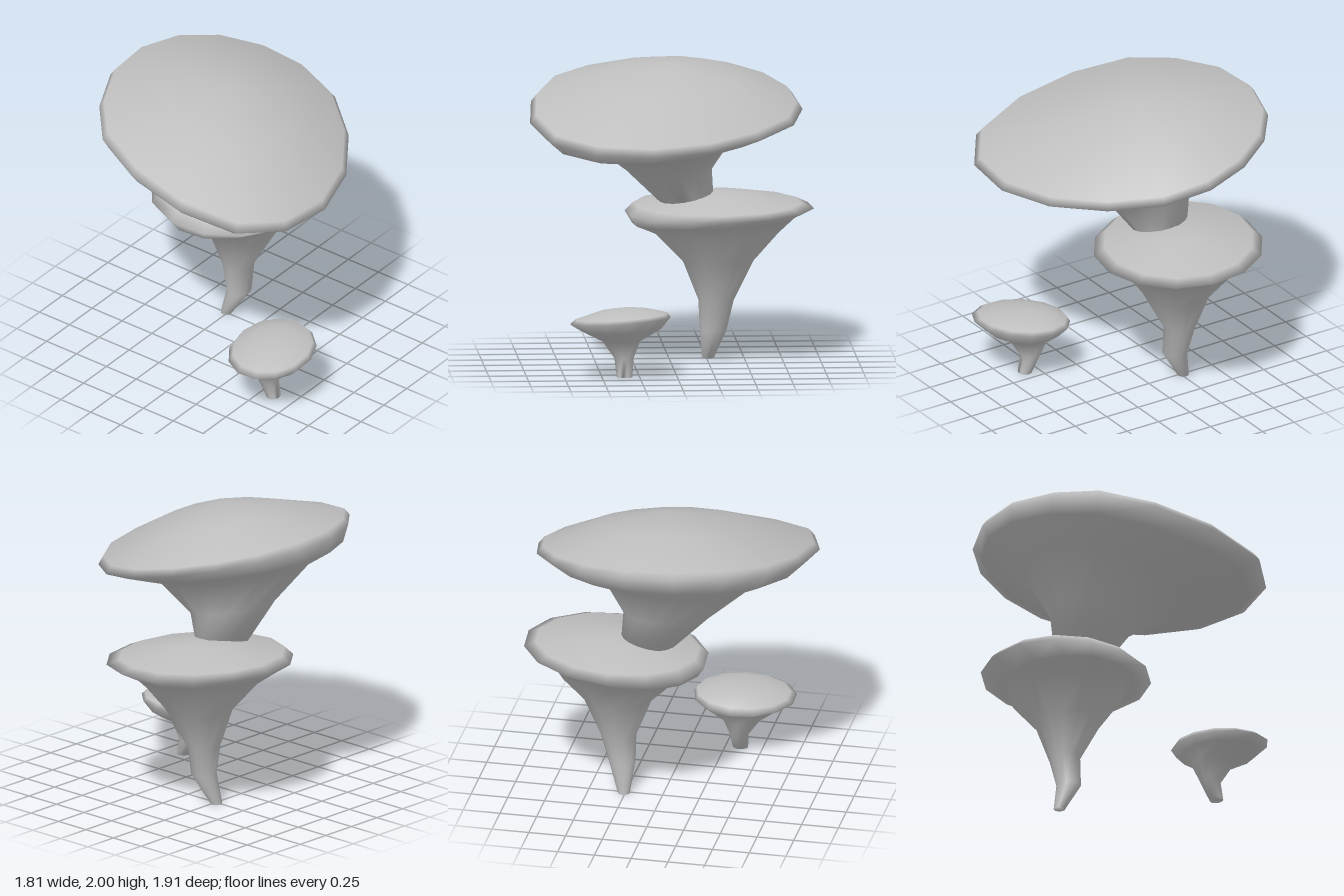
import * as THREE from 'three';

const grey = new THREE.MeshStandardMaterial({ color: 0xbebebe });
grey.name = 'plain grey';

// Unit oval of [x, z] corners; skew stretches it along a diagonal
function oval(sides, turn, skew = 0) {
  return Array.from({ length: sides }, (_, i) => {
    const t = ((i + turn) / sides) * Math.PI * 2;
    return [Math.cos(t), Math.sin(t + skew)];
  });
}

// One mushroom: a smooth skin lofted through tilted rings, bottom to top.
// Ring: [centre x, y, z, radius x, radius z, slope along x, slope along z]
// Rings from capStart on follow the cap outline, those below the stem outline.
function mushroom(name, { rings, apex, stemOutline, capOutline, capStart }) {
  const sides = stemOutline.length;
  const points = [];
  rings.forEach(([cx, cy, cz, rx, rz, sx = 0, sz = 0], j) => {
    for (const [ux, uz] of j < capStart ? stemOutline : capOutline) {
      const dx = rx * ux, dz = rz * uz;
      points.push(cx + dx, cy + sx * dx + sz * dz, cz + dz);
    }
  });
  points.push(...apex);

  const stemFaces = [], capFaces = [];
  // Disc closing the foot of the stem
  for (let i = 1; i < sides - 1; i++) stemFaces.push(0, i, i + 1);
  for (let j = 0; j < rings.length; j++) {
    const faces = j < capStart ? stemFaces : capFaces;
    for (let i = 0; i < sides; i++) {
      const a = j * sides + i, b = j * sides + (i + 1) % sides;
      if (j === rings.length - 1) faces.push(a, rings.length * sides, b);
      else faces.push(a, a + sides, b, b, a + sides, b + sides);
    }
  }
  const skin = new THREE.BufferGeometry();
  skin.setAttribute('position', new THREE.Float32BufferAttribute(points, 3));
  skin.setIndex([...stemFaces, ...capFaces]);
  skin.computeVertexNormals();

  // Stem and cap share the skin's normals, so the join stays smooth
  const group = new THREE.Group();
  group.name = name;
  for (const [part, faces] of [['stem', stemFaces], ['cap', capFaces]]) {
    const mesh = new THREE.Mesh(skin.clone().setIndex(faces), grey);
    mesh.name = part;
    group.add(mesh);
  }
  return group;
}

export function createModel() {
  const model = new THREE.Group();
  model.name = 'mushroomCluster';

  // Wide tilted mushroom with an egg-shaped cap, growing out of the middle one
  model.add(mushroom('upperMushroom', {
    stemOutline: oval(16, 0.38),
    capOutline: [
      [0.99, 0.15], [0.955, 0.565], [0.735, 0.87], [0.30, 1.0],
      [-0.165, 0.965], [-0.565, 0.805], [-0.81, 0.53], [-0.98, 0.175],
      [-1.01, -0.195], [-0.91, -0.53], [-0.71, -0.78], [-0.42, -0.945],
      [-0.09, -1.0], [0.255, -0.915], [0.59, -0.65], [0.855, -0.28],
    ],
    capStart: 3,
    rings: [
      [-0.18, 1.095, -0.12, 0.18, 0.17, -0.17, -0.24],
      [-0.16, 1.30, 0.01, 0.28, 0.29, -0.19, 0],
      [-0.115, 1.53, 0.08, 0.535, 0.50, -0.20, 0],
      [-0.04, 1.62, 0.07, 0.84, 0.79, -0.20, 0.005],
      [0, 1.70, 0.04, 0.90, 0.92, -0.215, 0.025],
      [0, 1.75, 0.04, 0.87, 0.88, -0.215, 0.025],
      [-0.02, 1.91, 0, 0.44, 0.45, -0.21, 0.015],
    ],
    apex: [-0.05, 2.0, 0],
  }));

  // Tall middle mushroom with a bent foot
  model.add(mushroom('middleMushroom', {
    stemOutline: oval(14, 0),
    capOutline: oval(14, 0, -0.085),
    capStart: 5,
    rings: [
      [-0.265, 0, -0.26, 0.038, 0.04],
      [-0.18, 0.20, -0.29, 0.08, 0.09],
      [-0.20, 0.40, -0.31, 0.10, 0.12],
      [-0.17, 0.67, -0.32, 0.22, 0.24],
      [-0.18, 0.86, -0.31, 0.365, 0.42],
      [-0.18, 0.935, -0.29, 0.43, 0.54, 0, -0.045],
      [-0.18, 1.01, -0.33, 0.58, 0.63, -0.025, -0.035],
      [-0.19, 1.055, -0.32, 0.51, 0.56, -0.04, -0.02],
      [-0.18, 1.12, -0.30, 0.20, 0.20, -0.03, -0.06],
    ],
    apex: [-0.18, 1.14, -0.28],
  }));

  // Small separate mushroom
  model.add(mushroom('smallMushroom', {
    stemOutline: oval(13, 0.5),
    capOutline: oval(13, 0.5, 0.12),
    capStart: 3,
    rings: [
      [0.595, 0, 0.35, 0.045, 0.052],
      [0.55, 0.12, 0.35, 0.07, 0.065],
      [0.55, 0.24, 0.37, 0.14, 0.13],
      [0.60, 0.32, 0.375, 0.235, 0.27],
      [0.605, 0.38, 0.38, 0.30, 0.34, 0.06, -0.06],
      [0.60, 0.41, 0.37, 0.27, 0.31, 0.03, -0.06],
      [0.60, 0.447, 0.35, 0.17, 0.18, 0.02, -0.03],
    ],
    apex: [0.58, 0.47, 0.33],
  }));

  return model;
}
